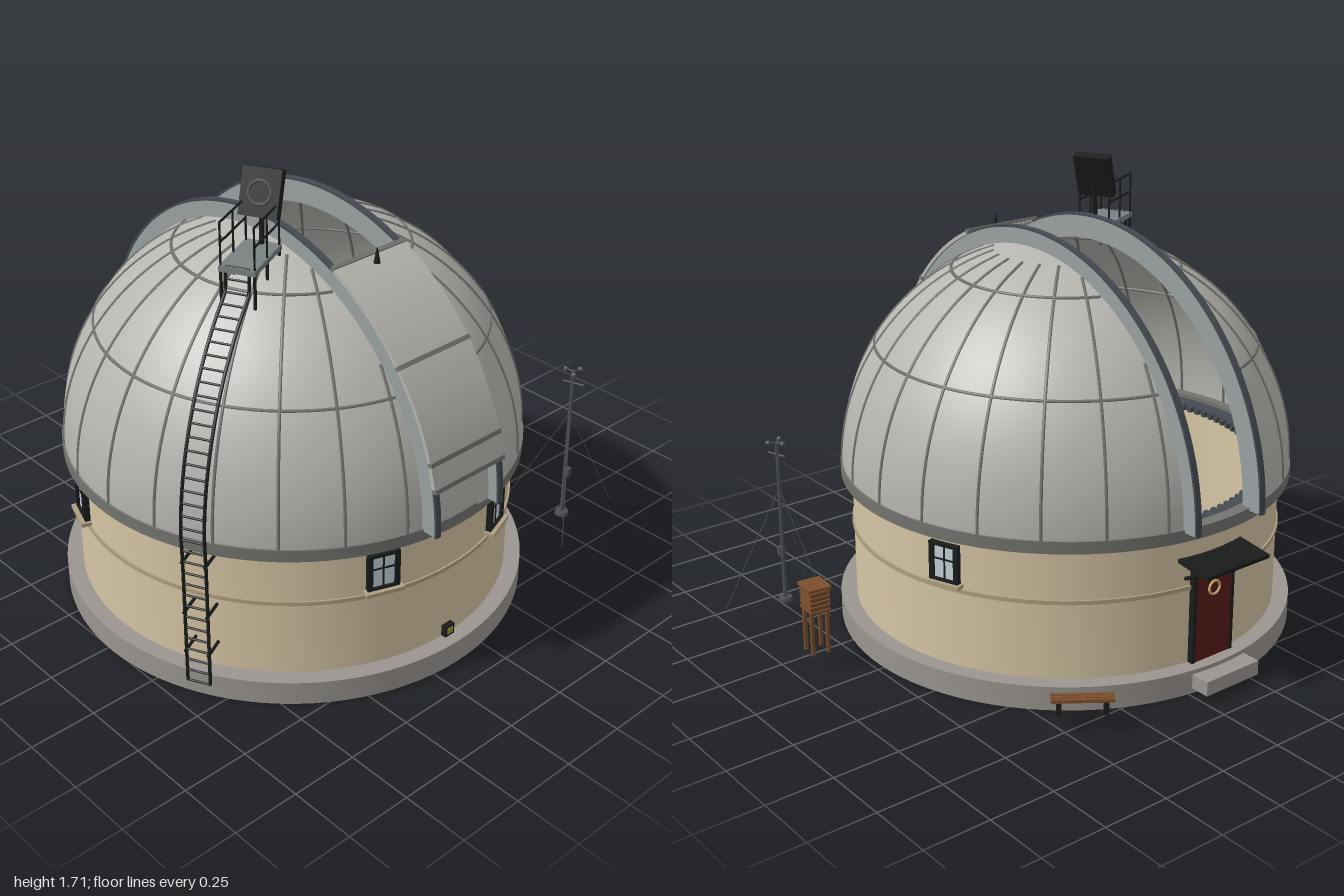
import * as THREE from 'three';
import { toCreasedNormals } from 'three/addons/utils/BufferGeometryUtils.js';

const V = (x, y, z) => new THREE.Vector3(x, y, z);
const mat = (color) => new THREE.MeshStandardMaterial({ color, side: THREE.DoubleSide });
const M = {
  dome: mat(0xb6b5b0), seam: mat(0x73736f), base: mat(0x9a9590), wall: mat(0xd6c5a4), trim: mat(0xb09f80),
  slate: mat(0x454b52), cheek: mat(0x9aa0a0), black: mat(0x1a1c1c), steel: mat(0x4c5052), floor: mat(0x9a7142),
  under: mat(0x5a4028), pale: mat(0xcccccc), teal: mat(0x143840), brass: mat(0xc8ac68), door: mat(0x581a18),
  glass: mat(0xc4d2da), wood: mat(0x7c4f2c), yellow: mat(0x9a9430), deck: mat(0x7a8284),
};
const R = 0.84, CY = 0.615, SLIT = 0.15;

function add(parent, name, geo, material, x = 0, y = 0, z = 0) {
  const m = new THREE.Mesh(geo, material);
  m.name = name;
  m.position.set(x, y, z);
  parent.add(m);
  return m;
}
const box = (p, n, m, w, h, d, x, y, z) => add(p, n, new THREE.BoxGeometry(w, h, d), m, x, y, z);
const cyl = (p, n, m, r0, r1, h, x, y, z, s = 24) => add(p, n, new THREE.CylinderGeometry(r0, r1, h, s), m, x, y, z);
const tube = (p, n, m, pts, r, seg = 24) =>
  add(p, n, new THREE.TubeGeometry(new THREE.CatmullRomCurve3(pts), seg, r, 6), m);
function group(parent, name, x = 0, y = 0, z = 0, turn = 0) {
  const g = new THREE.Group();
  g.name = name;
  g.position.set(x, y, z);
  g.rotation.y = turn;
  parent.add(g);
  return g;
}
// Straight rod between two points
function rod(p, n, m, a, b, r) {
  const mid = a.clone().add(b).multiplyScalar(0.5);
  const o = cyl(p, n, m, r, r, a.distanceTo(b), mid.x, mid.y, mid.z, 8);
  o.quaternion.setFromUnitVectors(V(0, 1, 0), b.clone().sub(a).normalize());
}
// Ring of rectangular section
function ring(p, n, m, r0, r1, y0, y1) {
  const pts = [[r0, y0], [r1, y0], [r1, y1], [r0, y1], [r0, y0]].map((q) => new THREE.Vector2(...q));
  return add(p, n, toCreasedNormals(new THREE.LatheGeometry(pts, 96), 0.6), m);
}
// Arched band over the dome; angles in degrees rise from the front
function arch(p, n, m, xa, xb, r0, r1, a0, a1) {
  const s = new THREE.Shape(), k = Math.PI / 180;
  s.absarc(0, 0, r1, a0 * k, a1 * k, false);
  s.absarc(0, 0, r0, a1 * k, a0 * k, true);
  const g = new THREE.ExtrudeGeometry(s, { depth: xb - xa, bevelEnabled: false, curveSegments: 48 });
  g.rotateY(-Math.PI / 2);
  return add(p, n, toCreasedNormals(g, 0.5), m, xb, CY, 0);
}
const onDome = (r, polar, az) =>
  V(r * Math.sin(polar) * Math.sin(az), CY + r * Math.cos(polar), r * Math.sin(polar) * Math.cos(az));

function buildDrum(o) {
  ring(o, 'foundation', M.base, 0.77, 0.865, 0, 0.09);
  ring(o, 'wall', M.wall, 0.775, 0.805, 0.09, 0.58);
  ring(o, 'stringCourse', M.trim, 0.8, 0.812, 0.375, 0.39);
  cyl(o, 'floorUnderside', M.under, 0.775, 0.775, 0.02, 0, 0.06, 0, 96);
  cyl(o, 'floor', M.floor, 0.775, 0.775, 0.02, 0, 0.08, 0, 96);
  for (const deg of [20, -20, 110, -110]) {
    const a = deg * Math.PI / 180;
    const w = group(o, 'window', 0.803 * Math.sin(a), 0.48, 0.803 * Math.cos(a), a);
    box(w, 'windowPane', M.glass, 0.085, 0.13, 0.02, 0, 0, 0);
    for (const s of [-1, 1]) {
      box(w, 'windowJamb', M.black, 0.018, 0.145, 0.04, s * 0.05, 0, 0);
      box(w, 'windowRail', M.black, 0.115, 0.012, 0.04, 0, s * 0.067, 0);
    }
    box(w, 'glazingBar', M.black, 0.006, 0.13, 0.026, 0, 0, 0);
    box(w, 'glazingBar', M.black, 0.085, 0.006, 0.026, 0, 0.01, 0);
    box(w, 'windowSill', M.trim, 0.14, 0.014, 0.055, 0, -0.077, 0.008);
  }
  const d = group(o, 'entrance', 0, 0, -0.8, Math.PI);
  box(d, 'door', M.door, 0.17, 0.36, 0.03, 0, 0.27, 0.005);
  for (const s of [-1, 1]) {
    box(d, 'doorJamb', M.black, 0.014, 0.37, 0.045, s * 0.09, 0.275, 0);
    rod(d, 'canopyBracket', M.black, V(s * 0.12, 0.42, 0), V(s * 0.12, 0.475, 0.1), 0.007);
  }
  box(d, 'doorHead', M.black, 0.19, 0.014, 0.045, 0, 0.457, 0);
  add(d, 'porthole', new THREE.TorusGeometry(0.025, 0.005, 8, 24), M.brass, 0, 0.36, 0.022);
  box(d, 'canopy', M.black, 0.3, 0.014, 0.16, 0, 0.485, 0.055).rotation.x = 0.12;
  box(d, 'doorStep', M.base, 0.25, 0.055, 0.1, 0, 0.047, 0.08);
  box(o, 'ventFrame', M.black, 0.044, 0.044, 0.03, 0, 0.115, 0.81);
  box(o, 'ventPlate', M.yellow, 0.024, 0.024, 0.01, 0, 0.115, 0.823);
}

function buildDome(o) {
  ring(o, 'domeSkirt', M.seam, 0.8, 0.847, 0.58, 0.625);
  ring(o, 'gearRing', M.slate, 0.74, 0.8, 0.585, 0.61);
  for (let i = 0; i < 120; i++) {
    const a = i * Math.PI / 60;
    box(o, 'gearTooth', M.slate, 0.018, 0.02, 0.024, 0.735 * Math.sin(a), 0.597, 0.735 * Math.cos(a)).rotation.y = a;
  }
  // Two shells leave the slit open between them
  const shell = new THREE.SphereGeometry(R, 64, 40, -Math.PI / 2, Math.PI, 0, Math.acos(SLIT / R));
  shell.rotateZ(-Math.PI / 2);
  for (const s of [-1, 1]) {
    add(o, 'domeShell', shell, M.dome, 0, CY, 0).rotation.y = s < 0 ? Math.PI : 0;
    arch(o, 'slitCheek', M.cheek, s * 0.152 - 0.009, s * 0.152 + 0.009, 0.8, 0.883, 0, 180);
    arch(o, 'slitRail', M.slate, s * 0.152 - 0.012, s * 0.152 + 0.012, 0.883, 0.891, 0, 180);
    for (const r of [0.42, 0.706]) {
      const a0 = Math.asin(0.165 / r), polar = Math.asin(r / R), pts = [];
      for (let i = 0; i <= 24; i++) pts.push(onDome(R, polar, s * (a0 + (Math.PI - 2 * a0) * i / 24)));
      tube(o, 'domeHoop', M.seam, pts, 0.006, 64);
    }
  }
  for (let k = 1; k < 24; k++) {
    if (k === 12) continue;
    const az = k * Math.PI / 12;
    const top = Math.max(0.32, Math.asin(0.165 / (R * Math.abs(Math.sin(az)))));
    const pts = [];
    for (let i = 0; i <= 12; i++) pts.push(onDome(R, 1.56 + (top - 1.56) * i / 12, az));
    tube(o, 'domeRib', M.seam, pts, 0.006, 32);
  }
  arch(o, 'lowerPanel', M.dome, -0.145, 0.145, 0.83, 0.842, 0, 14);
  arch(o, 'shutter', M.dome, -0.165, 0.165, 0.884, 0.898, 11, 65);
  for (const a of [11, 17, 38.5, 64]) arch(o, 'shutterBatten', M.seam, -0.166, 0.166, 0.885, 0.904, a, a + 1);
  cyl(o, 'finial', M.black, 0.002, 0.012, 0.055, 0, 1.435, 0.425, 12);
}

function buildTelescope(o) {
  cyl(o, 'pierPlinth', M.pale, 0.24, 0.24, 0.02, 0, 0.1, 0, 64);
  cyl(o, 'pier', M.steel, 0.06, 0.09, 0.4, 0, 0.3, 0);
  const t = group(o, 'telescope', 0, 0.57, 0);
  t.rotation.x = 0.12;
  const along = (n, m, r0, r1, z0, z1) => { cyl(t, n, m, r0, r1, z1 - z0, 0, 0, (z0 + z1) / 2).rotation.x = Math.PI / 2; };
  along('dewShield', M.teal, 0.062, 0.062, -0.66, -0.49);
  along('mainTube', M.teal, 0.048, 0.052, -0.49, 0.1);
  along('tailTube', M.teal, 0.04, 0.048, 0.1, 0.17);
  along('focuser', M.brass, 0.014, 0.022, 0.17, 0.23);
  for (const z of [-0.49, -0.28, 0.1, 0.16]) along('tubeBand', M.brass, 0.054, 0.054, z - 0.004, z + 0.004);
  cyl(t, 'finderScope', M.brass, 0.01, 0.01, 0.26, 0, 0.066, -0.19).rotation.x = Math.PI / 2;
  cyl(t, 'declinationAxis', M.steel, 0.03, 0.03, 0.24, 0, 0, 0).rotation.z = Math.PI / 2;
  for (const s of [-1, 1]) add(t, 'mountHub', new THREE.SphereGeometry(0.06, 24, 16), M.steel, s * 0.075, 0, 0);
  box(o, 'controlDesk', M.steel, 0.08, 0.2, 0.06, -0.11, 0.19, 0.33).rotation.y = 0.5;
}

// Ladder and service platform; local +z points away from the dome axis
function buildLadder(o) {
  const g = group(o, 'accessLadder', 0, 0, 0, -1.107);
  const path = [V(0, 0.06, 0.88), V(0, 0.3, 0.88), V(0, 0.55, 0.88)];
  for (let a = 4; a <= 57; a += 7.5) path.push(onDome(0.885, (90 - a) * Math.PI / 180, 0));
  path.push(V(0, 1.36, 0.48), V(0, 1.45, 0.47));
  for (const s of [-1, 1]) {
    tube(g, 'ladderRail', M.black, path.map((q) => V(s * 0.042, q.y, q.z)), 0.006, 64);
    for (const y of [0.19, 0.35, 0.555]) rod(g, 'ladderBracket', M.black, V(s * 0.042, y, 0.79), V(s * 0.042, y, 0.89), 0.006);
  }
  for (const q of new THREE.CatmullRomCurve3(path).getSpacedPoints(34))
    rod(g, 'ladderRung', M.black, V(-0.042, q.y, q.z), V(0.042, q.y, q.z), 0.004);
  box(g, 'platformDeck', M.deck, 0.13, 0.02, 0.23, 0, 1.44, 0.365);
  for (const s of [-1, 1]) {
    const x = s * 0.06;
    for (const z of [0.26, 0.365, 0.47]) {
      rod(g, 'railingPost', M.black, V(x, 1.44, z), V(x, 1.6, z), 0.004);
      rod(g, 'platformLeg', M.black, V(x, 1.44, z), V(x, CY + Math.sqrt(R * R - z * z - x * x), z), 0.006);
    }
    for (const y of [1.53, 1.6]) rod(g, 'railing', M.black, V(x, y, 0.26), V(x, y, 0.47), 0.004);
  }
  rod(g, 'panelPost', M.black, V(0, 1.44, 0.27), V(0, 1.62, 0.255), 0.01);
  const p = group(g, 'tiltedPanel', 0, 1.63, 0.26);
  p.rotation.x = -0.35;
  box(p, 'panelBody', M.black, 0.14, 0.165, 0.035, 0, 0, 0);
  add(p, 'panelRing', new THREE.TorusGeometry(0.04, 0.006, 8, 32), M.steel, 0, 0, 0.018);
}

function buildGrounds(o) {
  const mast = group(o, 'weatherMast', 0.78, 0, 0.594);
  cyl(mast, 'mastFoot', M.steel, 0.025, 0.028, 0.014, 0, 0.065, 0);
  cyl(mast, 'mastPole', M.steel, 0.007, 0.008, 0.64, 0, 0.38, 0, 12);
  box(mast, 'mastBox', M.steel, 0.022, 0.035, 0.022, 0, 0.26, 0.012);
  rod(mast, 'vaneArm', M.steel, V(-0.012, 0.655, -0.035), V(0.012, 0.655, 0.045), 0.004);
  for (let i = 0; i < 3; i++) {
    const a = i * 2.094 + 0.3, c = V(0.032 * Math.cos(a), 0.705, 0.032 * Math.sin(a));
    rod(mast, 'cupArm', M.steel, V(0, 0.705, 0), c, 0.003);
    add(mast, 'windCup', new THREE.SphereGeometry(0.011, 12, 8), M.steel, c.x, c.y, c.z);
  }
  for (const [x, z] of [[-0.06, -0.23], [0.22, 0.066], [-0.175, 0.15]])
    rod(mast, 'guyWire', M.steel, V(0, 0.52, 0), V(x, 0.06, z), 0.0015);

  const scr = group(o, 'instrumentScreen', 0.9, 0, 0.165, -0.1);
  for (const x of [-1, 1]) for (const z of [-1, 1]) box(scr, 'screenLeg', M.wood, 0.012, 0.18, 0.012, x * 0.03, 0.15, z * 0.03);
  box(scr, 'screenCore', M.under, 0.066, 0.09, 0.076, 0, 0.27, 0);
  for (let i = 0; i < 5; i++) box(scr, 'screenLouvre', M.wood, 0.078, 0.009, 0.09, 0, 0.232 + i * 0.018, 0);
  box(scr, 'screenRoof', M.wood, 0.088, 0.01, 0.1, 0, 0.32, 0);

  const bench = group(o, 'bench', 0.435, 0, -0.765, -0.63);
  for (let i = -1; i <= 1; i++) box(bench, 'benchSlat', M.wood, 0.215, 0.012, 0.014, 0, 0.116, i * 0.018);
  for (const s of [-1, 1]) box(bench, 'benchLeg', M.black, 0.016, 0.052, 0.045, s * 0.08, 0.086, 0);
}

export function createModel() {
  const model = new THREE.Group();
  model.name = 'observatory';
  const house = group(model, 'observatoryBuilding', -0.14, 0, 0.03);
  [buildDrum, buildDome, buildTelescope, buildLadder].forEach((build) => build(house));
  buildGrounds(model);
  return model;
}
